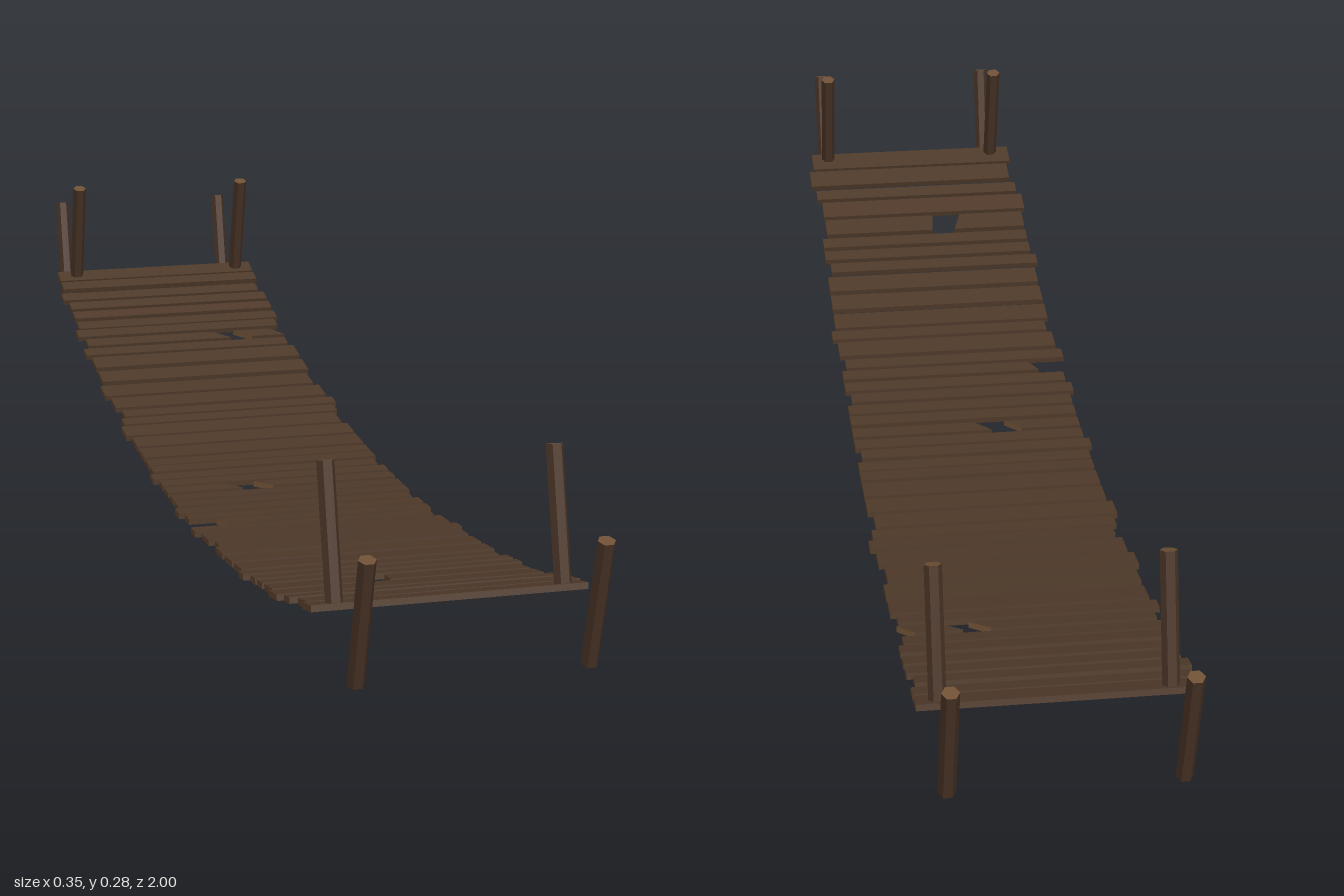
import * as THREE from 'three';

const mat = (name, color) => new THREE.MeshStandardMaterial({ name, color, flatShading: true });

export function createModel() {
  const bridge = new THREE.Group();
  bridge.name = 'suspensionBridge';

  const plankWood = mat('plank brown', 0x4f3a2a);
  const postWood = mat('post brown', 0x4a3426);
  const cutWood = mat('cut wood', 0x6e5034);

  // Sagging deck: height and slope at a given z
  const THICK = 0.008;
  const SAG = 0.11 / (0.85 * 0.85);
  const deckY = z => THICK / 2 + SAG * z * z;
  const deckTilt = z => -Math.atan(2 * SAG * z);

  // Plank centres along z
  const centres = [
    -0.849, -0.815, -0.774, -0.741, -0.706, -0.668, -0.637, -0.601, -0.565, -0.523, -0.466,
    -0.408, -0.357, -0.312, -0.278, -0.236, -0.186, -0.135, -0.091, -0.06, -0.023, 0.01,
    0.045, 0.083, 0.117, 0.153, 0.187, 0.223, 0.257, 0.302, 0.344, 0.386, 0.441,
    0.495, 0.542, 0.578, 0.614, 0.659, 0.709, 0.751, 0.797, 0.844];
  // One letter per plank: a, b, c give the sideways shift, capitals are wide planks
  const kinds = 'aabaaabab' + 'AABAcaBAA' + 'aabaaaabaa' + 'bAcAAA' + 'baaAB' + 'aCA';
  const shift = { a: -0.002, b: -0.009, c: 0.005 };
  const LENGTH = 0.336;

  // Broken planks: pieces as [left, right, slant of left end, slant of right end]
  const broken = {
    7: [[-0.167, 0.058, 0, 1.0], [0.094, 0.152, 1.0, 0.8]],
    22: [[-0.17, -0.072, 0, 0.9], [-0.027, 0.166, 0.9, 0]],
    27: [[-0.127, 0.166, 0.5, 0]],
    37: [[-0.17, -0.06, 0, -0.3], [-0.019, 0.158, -0.1, 0]],
  };

  // Board with optionally slanted ends; the ends show cut wood
  function board([x0, x1, s0, s1], depth) {
    const geo = new THREE.BoxGeometry(1, THICK, depth);
    const p = geo.attributes.position;
    for (let i = 0; i < p.count; i++) {
      const right = p.getX(i) > 0;
      p.setX(i, (right ? x1 : x0) + p.getZ(i) * (right ? s1 : s0));
    }
    geo.computeVertexNormals();
    return new THREE.Mesh(geo, [cutWood, cutWood, plankWood, plankWood, plankWood, plankWood]);
  }

  const deck = new THREE.Group();
  deck.name = 'deck';
  bridge.add(deck);
  centres.forEach((z, i) => {
    const kind = kinds[i].toLowerCase();
    const depth = i === 0 ? 0.034 : kinds[i] !== kind ? 0.042 : 0.026;
    const mid = shift[kind];
    const pieces = broken[i] || [[mid - LENGTH / 2, mid + LENGTH / 2, 0, 0]];
    for (const piece of pieces) {
      const mesh = board(piece, depth);
      mesh.name = broken[i] ? 'brokenPlank' : 'plank';
      mesh.position.set(0, deckY(z), z);
      mesh.rotation.x = deckTilt(z);
      deck.add(mesh);
    }
  });

  // Hexagonal posts: inner pair leans over the deck, outer pair leans away from it
  const postGeo = new THREE.CylinderGeometry(0.0108, 0.0108, 0.168, 6).rotateY(Math.PI / 6);
  const LEAN = THREE.MathUtils.degToRad(15);
  for (const end of [1, -1]) {
    for (const side of [1, -1]) {
      for (const [name, y, z, lean] of [
        ['innerPost', 0.196, 0.83, -LEAN],
        ['outerPost', 0.135, 0.968, LEAN],
      ]) {
        const post = new THREE.Mesh(postGeo, [postWood, cutWood, cutWood]);
        post.name = name;
        post.position.set(0.139 * side, y, z * end);
        post.rotation.x = lean * end;
        bridge.add(post);
      }
    }
  }
  return bridge;
}
